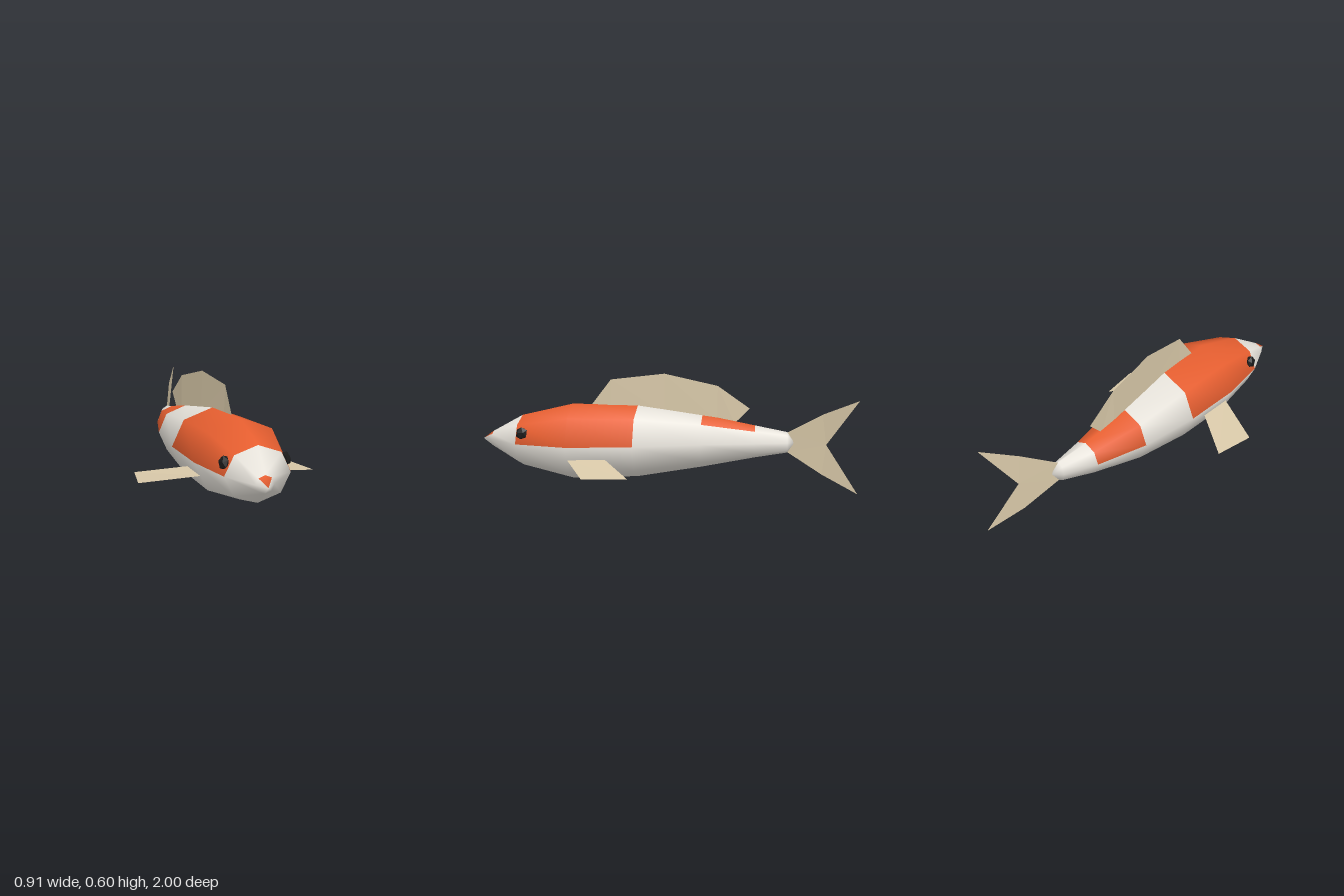
import * as THREE from 'three';

const SIDES = 8;
const MID_Y = 0.245;

// Body rings from nose to tail: z, centre x, half width, half height
const RINGS = [
  [1.0, -0.02, 0, 0],
  [0.94, -0.014, 0.044, 0.042],
  [0.77, 0.011, 0.159, 0.135],
  [0.49, 0.017, 0.228, 0.201],
  [0.15, -0.022, 0.213, 0.191],
  [-0.19, -0.076, 0.149, 0.141],
  [-0.47, -0.083, 0.086, 0.086],
  [-0.64, -0.073, 0.038, 0.055],
  [-0.68, -0.068, 0, 0],
];

// Orange markings: for each body band, first and last side that is coloured
const PATCHES = { 0: [1, 2], 2: [0, 3], 3: [0, 3], 5: [1, 3] };

function makeBody(materials) {
  const positions = [];
  const faces = [[], []];
  for (const [z, cx, rx, ry] of RINGS) {
    for (let j = 0; j < SIDES; j++) {
      const a = (j / SIDES) * Math.PI * 2;
      positions.push(cx + rx * Math.cos(a), MID_Y + ry * Math.sin(a), z);
    }
  }
  const last = RINGS.length - 1;
  // The two ends each collapse to one shared point
  const at = (i, j) => i * SIDES + (i === 0 || i === last ? 0 : j % SIDES);
  for (let i = 0; i < last; i++) {
    for (let j = 0; j < SIDES; j++) {
      const patch = PATCHES[i];
      const list = faces[patch && j >= patch[0] && j <= patch[1] ? 1 : 0];
      if (i > 0) list.push(at(i, j), at(i + 1, j), at(i, j + 1));
      if (i < last - 1) list.push(at(i, j + 1), at(i + 1, j), at(i + 1, j + 1));
      if (i === 0) continue;
    }
  }
  const geo = new THREE.BufferGeometry();
  geo.setAttribute('position', new THREE.Float32BufferAttribute(positions, 3));
  geo.setIndex([...faces[0], ...faces[1]]);
  geo.addGroup(0, faces[0].length, 0);
  geo.addGroup(faces[0].length, faces[1].length, 1);
  geo.computeVertexNormals();
  const mesh = new THREE.Mesh(geo, materials);
  mesh.name = 'body';
  return mesh;
}

// Thin flat-faceted fin from corner points and triangles
function makeFin(name, points, triangles, material) {
  const geo = new THREE.BufferGeometry();
  geo.setAttribute('position', new THREE.Float32BufferAttribute(triangles.flatMap((i) => points[i]), 3));
  geo.computeVertexNormals();
  const mesh = new THREE.Mesh(geo, material);
  mesh.name = name;
  return mesh;
}

export function createModel() {
  const white = new THREE.MeshStandardMaterial({ color: 0xe8e4dc });
  const orange = new THREE.MeshStandardMaterial({ color: 0xe85f30 });
  const finTan = new THREE.MeshStandardMaterial({ color: 0xd8c8a8, side: THREE.DoubleSide });
  const eyeBlack = new THREE.MeshStandardMaterial({ color: 0x1a1a1a });
  white.name = 'white skin';
  orange.name = 'orange skin';
  finTan.name = 'fin tan';
  eyeBlack.name = 'eye black';

  const model = new THREE.Group();
  model.name = 'fish';
  model.add(makeBody([white, orange]));

  // Dorsal fin: base and edge points in pairs along the curved back
  const dorsal = [
    [0.005, 0.42, 0.39], [0.005, 0.445, 0.39],
    [-0.003, 0.42, 0.29], [0.003, 0.575, 0.29],
    [-0.042, 0.39, 0.01], [-0.036, 0.605, 0.01],
    [-0.078, 0.35, -0.27], [-0.074, 0.54, -0.27],
    [-0.081, 0.34, -0.36], [-0.086, 0.42, -0.44],
  ];
  const strip = [];
  for (let i = 0; i < dorsal.length - 2; i += 2) strip.push(i, i + 2, i + 1, i + 1, i + 2, i + 3);
  model.add(makeFin('dorsalFin', dorsal, strip, finTan));

  // Forked tail fin, sweeping to one side
  const tail = [
    [-0.072, 0.297, -0.64], [-0.072, 0.193, -0.64], [-0.01, MID_Y, -0.84],
    [-0.015, 0.403, -0.82], [0.06, 0.485, -1.0],
    [-0.015, 0.087, -0.82], [0.06, 0.003, -1.0],
  ];
  model.add(makeFin('tailFin', tail, [0, 1, 2, 0, 2, 3, 3, 2, 4, 1, 5, 2, 5, 6, 2], finTan));

  // Pectoral fins
  const quad = [0, 1, 2, 0, 2, 3];
  model.add(makeFin('leftPectoralFin',
    [[0.2, 0.177, 0.49], [0.455, 0.127, 0.36], [0.405, 0.123, 0.14], [0.17, 0.178, 0.3]], quad, finTan));
  model.add(makeFin('rightPectoralFin',
    [[-0.165, 0.177, 0.49], [-0.455, 0.127, 0.36], [-0.43, 0.123, 0.14], [-0.18, 0.178, 0.3]], quad, finTan));

  // Faceted eyes, flattened against the cheeks
  for (const [side, x] of [[1, 0.159], [-1, -0.14]]) {
    const eye = new THREE.Mesh(new THREE.IcosahedronGeometry(0.035, 0), eyeBlack);
    eye.name = side > 0 ? 'leftEye' : 'rightEye';
    eye.scale.x = 0.62;
    eye.rotation.set(0, -side * 0.25, side * 0.3);
    eye.position.set(x, 0.302, 0.737);
    model.add(eye);
  }
  return model;
}
